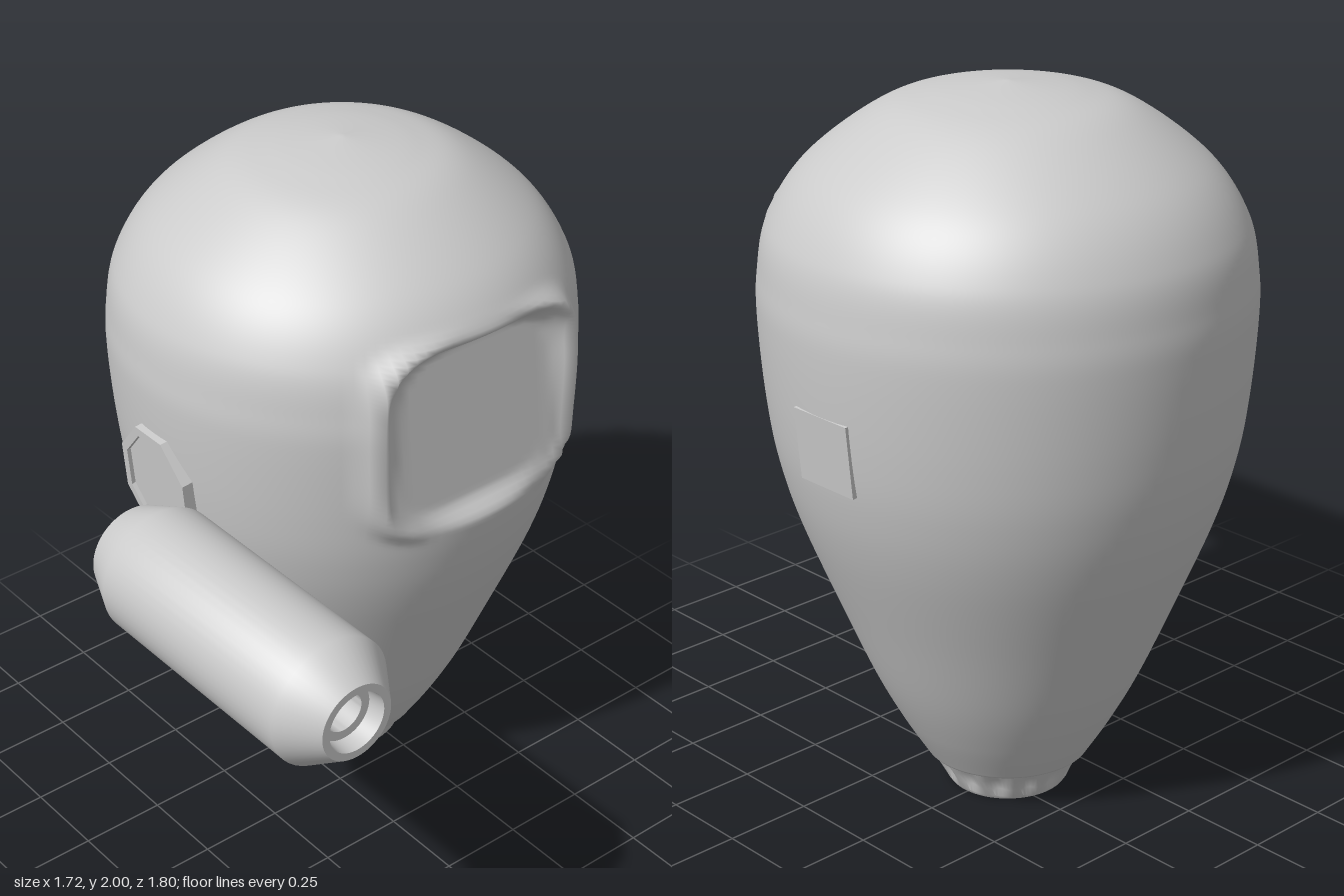
import * as THREE from 'three';
import { mergeVertices, toCreasedNormals } from 'three/addons/utils/BufferGeometryUtils.js';

const CX = 0.2, CZ = -0.238; // vertical axis of the body
const grey = new THREE.MeshStandardMaterial({ color: 0xcccccc });
const vec = ([x, y]) => new THREE.Vector2(x, y);

function addMesh(parent, name, geometry) {
  const mesh = new THREE.Mesh(geometry, grey);
  mesh.name = name;
  parent.add(mesh);
  return mesh;
}

// Egg-shaped shell with a rounded-rectangle recess pressed into its front
function bodyGeometry() {
  const profile = new THREE.SplineCurve([
    [0.23, 0.1], [0.3, 0.215], [0.375, 0.36], [0.46, 0.56], [0.565, 0.82], [0.618, 1.0],
    [0.645, 1.17], [0.661, 1.38], [0.658, 1.5], [0.63, 1.64], [0.535, 1.785],
    [0.35, 1.925], [0.2, 1.975], [0, 2],
  ].map(vec)).getPoints(150);
  profile[profile.length - 1].x = 0;
  profile.unshift(vec([0.2, 0.1]));
  let geo = new THREE.LatheGeometry(profile, 128, Math.PI);
  const p = geo.attributes.position;
  for (let i = 0; i < p.count; i++) {
    const x = p.getX(i), y = p.getY(i);
    let z = p.getZ(i);
    if (z > 0) {
      const q = Math.pow(Math.pow(Math.abs(x) / 0.335, 4) + Math.pow(Math.abs(y - 1.385) / 0.285, 4), 0.25);
      // raised rim along the sides
      const rim = Math.exp(-Math.pow((q - 1.02) / 0.07, 2));
      z += Math.max(0, 0.605 - z) * rim * 0.85;
      // recess floor, deepest towards the top
      const floor = 0.535 + 0.06 * (1.67 - y) / 0.57;
      const w = 1 - THREE.MathUtils.smoothstep(q, 0.8, 1.02);
      z += (Math.min(floor, z) - z) * w;
    }
    p.setZ(i, z);
  }
  geo.deleteAttribute('uv');
  geo.deleteAttribute('normal');
  geo = mergeVertices(geo, 1e-5);
  geo.computeVertexNormals();
  return geo;
}

// Fluted neck with an open socket underneath
function collarGeometry() {
  const points = [[0, 0.07], [0.145, 0.07], [0.145, 0], [0.165, 0], [0.173, 0.012],
    [0.185, 0.035], [0.205, 0.07], [0.222, 0.102]].map(vec);
  const geo = new THREE.LatheGeometry(points, 112);
  const p = geo.attributes.position;
  for (let i = 0; i < p.count; i++) {
    const x = p.getX(i), z = p.getZ(i), y = p.getY(i);
    if (Math.hypot(x, z) < 0.175) continue;
    const flute = Math.pow(Math.cos(7 * Math.atan2(x, z)), 2);
    const s = 1 - 0.09 * flute * Math.sin(Math.PI * Math.min(1, y / 0.11));
    p.setX(i, x * s);
    p.setZ(i, z * s);
  }
  return toCreasedNormals(geo, 0.7);
}

// Hollow pod: chamfered tube with a narrow front bore and a wide rear mouth
function podGeometry() {
  const points = [[0.055, 0.14], [0.112, 0.1], [0.112, -0.03], [0.13, -0.03], [0.182, 0.09],
    [0.182, 0.795], [0.108, 0.9], [0.086, 0.9], [0.08, 0.85], [0.055, 0.85], [0.055, 0.14]].map(vec);
  const geo = new THREE.LatheGeometry(points, 48);
  geo.rotateX(Math.PI / 2);
  return toCreasedNormals(geo, 0.75);
}

const octagon = (scale) => Array.from({ length: 8 }, (_, i) => {
  const a = (i + 0.5) * Math.PI / 4;
  return vec([0.152 * scale * Math.cos(a), 0.184 * scale * Math.sin(a)]);
});

export function createModel() {
  const model = new THREE.Group();
  model.name = 'eggHeadWithPod';

  addMesh(model, 'body', bodyGeometry()).position.set(CX, 0, CZ);
  addMesh(model, 'collar', collarGeometry()).position.set(CX, 0, CZ);
  addMesh(model, 'pod', podGeometry()).position.set(-0.68, 1.147, 0);

  // Octagonal side socket: frame plus recessed panel
  const socket = new THREE.Group();
  socket.name = 'sideSocket';
  const frame = new THREE.Shape(octagon(1));
  frame.holes.push(new THREE.Path(octagon(0.84)));
  addMesh(socket, 'socketFrame', new THREE.ExtrudeGeometry(frame, { depth: 0.05, bevelEnabled: false }))
    .position.z = -0.05;
  addMesh(socket, 'socketPanel', new THREE.ShapeGeometry(new THREE.Shape(octagon(0.9)))).position.z = -0.012;
  socket.rotation.set(0, -Math.PI / 2, 0.09, 'ZYX');
  socket.position.set(-0.462, 1.145, CZ);
  model.add(socket);

  // Flush square plate on the other side
  const plate = addMesh(model, 'sidePlate', new THREE.BoxGeometry(0.03, 0.2, 0.2));
  plate.position.set(CX + 0.629, 1.15, CZ);
  plate.rotation.z = -0.1;

  return model;
}
